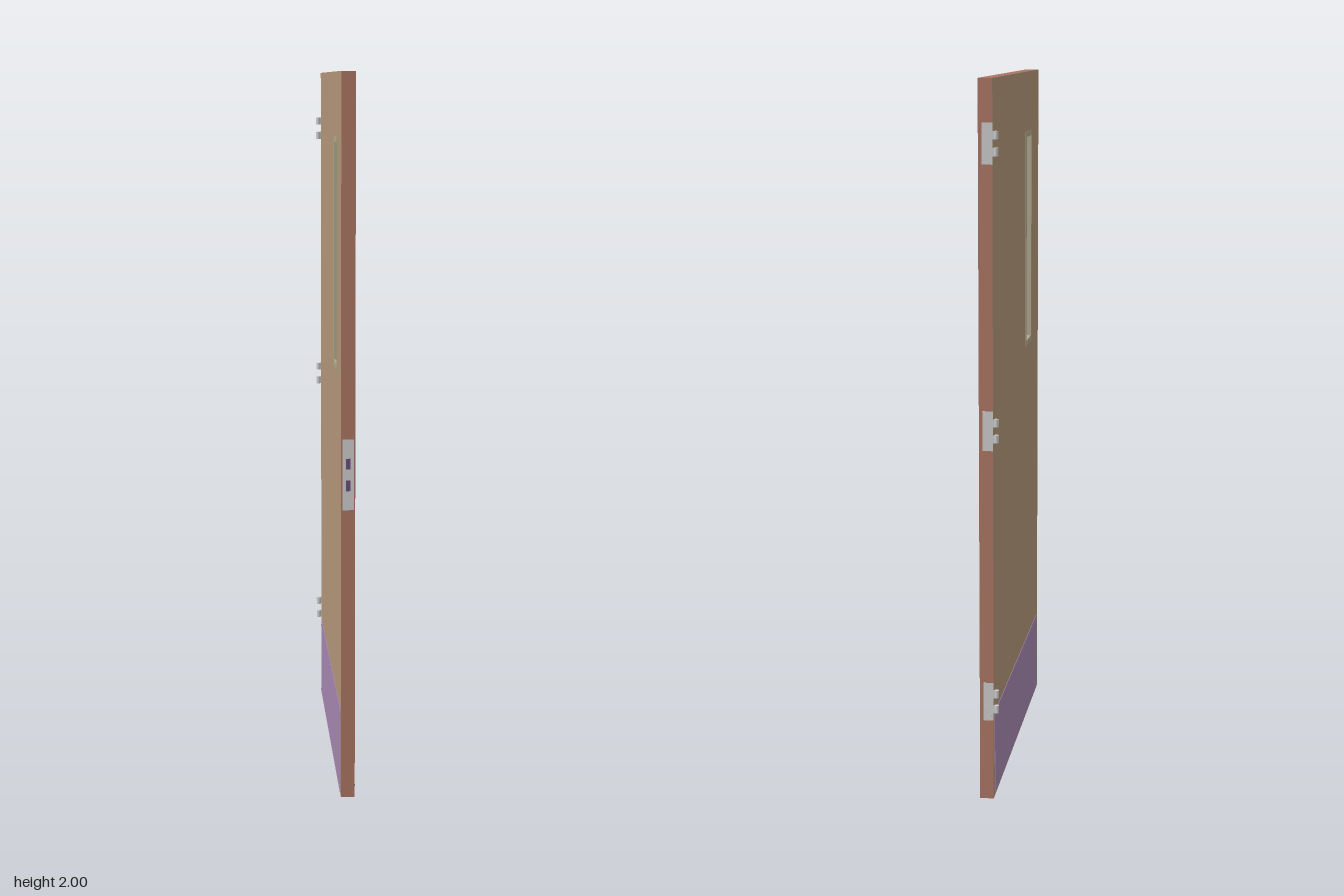
import * as THREE from 'three';

const mat = (color) => new THREE.MeshStandardMaterial({ color });
const STEEL = mat(0xcccccc), FACE = mat(0xb3977a), EDGE = mat(0xab7563);
const PLATE = mat(0xa688b2), TRIM = mat(0xb0a98e), GLASS = mat(0xc8d0d0), DARK = mat(0x6a4a78);

// Slab faces in x
const X0 = -0.0142, X1 = 0.0245;
const XM = (X0 + X1) / 2;

function add(parent, name, geometry, material, x = 0, y = 0, z = 0) {
  const mesh = new THREE.Mesh(geometry, material);
  mesh.name = name;
  mesh.position.set(x, y, z);
  parent.add(mesh);
  return mesh;
}

const box = (parent, name, material, x0, x1, y0, y1, z0, z1) =>
  add(parent, name, new THREE.BoxGeometry(x1 - x0, y1 - y0, z1 - z0), material,
    (x0 + x1) / 2, (y0 + y1) / 2, (z0 + z1) / 2);

// Rectangle in z and y; shapes are drawn with u = -z so they can be turned to face +x
function rect(Type, z0, z1, y0, y1) {
  const p = new Type();
  p.moveTo(-z1, y0);
  p.lineTo(-z0, y0);
  p.lineTo(-z0, y1);
  p.lineTo(-z1, y1);
  p.closePath();
  return p;
}

// Rectangular ring running from x0 to x1
function ring(parent, name, material, outer, inner, x0, x1) {
  const shape = rect(THREE.Shape, ...outer);
  shape.holes.push(rect(THREE.Path, ...inner));
  const g = new THREE.ExtrudeGeometry(shape, { depth: x1 - x0, bevelEnabled: false });
  g.rotateY(Math.PI / 2);
  return add(parent, name, g, material, x0);
}

// Wide plate and its screws on one face; side is +1 or -1 along x
function kickPlate(side) {
  const group = new THREE.Group();
  group.name = side > 0 ? 'leftKickPlate' : 'rightKickPlate';
  const face = side > 0 ? X1 : X0;
  const outer = face + side * 0.0015;
  box(group, 'plate', PLATE, Math.min(face, outer), Math.max(face, outer), 0.006, 0.25, -0.455, 0.455);
  for (const z of [-0.437, 0, 0.437]) for (const y of [0.02, 0.235]) {
    const screw = new THREE.SphereGeometry(0.005, 12, 5, 0, Math.PI * 2, 0, Math.PI / 2);
    screw.scale(1, 0.35, 1);
    screw.rotateZ(-side * Math.PI / 2);
    add(group, 'screw', screw, PLATE, outer, y, z);
  }
  return group;
}

// Half hinge: leaf on the edge, with two of the five knuckles
function hinge(y) {
  const group = new THREE.Group();
  group.name = 'hinge';
  const zEdge = -0.475, seg = 0.022, px = -0.0228, pz = -0.471;
  box(group, 'leaf', STEEL, X0, 0.014, -0.055, 0.055, zEdge - 0.001, zEdge + 0.001);
  for (const s of [-1, 1]) {
    const k = s * seg;
    add(group, 'knuckle', new THREE.CylinderGeometry(0.0068, 0.0068, seg, 16), STEEL, px, k, pz);
    box(group, 'knuckleTab', STEEL, px, X0, k - seg / 2, k + seg / 2, zEdge - 0.001, zEdge + 0.001);
  }
  // Leaf screws, staggered
  [-0.04, -0.013, 0.013, 0.04].forEach((sy, i) => {
    const g = new THREE.CylinderGeometry(0.004, 0.004, 0.0008, 12);
    g.rotateX(Math.PI / 2);
    add(group, 'screw', g, STEEL, i % 2 ? 0.006 : -0.004, sy, zEdge - 0.0012);
  });
  group.position.y = y;
  return group;
}

export function createModel() {
  const door = new THREE.Group();
  door.name = 'door';

  // Slab with a window opening
  ring(door, 'slab', [FACE, EDGE], [-0.475, 0.475, 0, 2], [0.19, 0.306, 1.188, 1.816], X0, X1);

  // Window: lining, thin face trims and glass
  const win = new THREE.Group();
  win.name = 'window';
  const opening = [0.197, 0.3, 1.197, 1.809];
  ring(win, 'lining', TRIM, [0.19, 0.306, 1.188, 1.816], opening, X0, X1);
  const trim = [0.182, 0.314, 1.18, 1.824];
  ring(win, 'leftTrim', TRIM, trim, opening, X1, X1 + 0.0015);
  ring(win, 'rightTrim', TRIM, trim, opening, X0 - 0.0015, X0);
  box(win, 'glass', GLASS, XM - 0.003, XM + 0.003, 1.192, 1.812, 0.193, 0.303);
  door.add(win);

  door.add(kickPlate(1), kickPlate(-1));

  // Lock plate on the front edge
  const lock = new THREE.Group();
  lock.name = 'lock';
  box(lock, 'lockPlate', STEEL, -0.01, 0.021, 0.822, 1.018, 0.474, 0.4758);
  for (const y of [0.89, 0.95])
    box(lock, 'latchSlot', DARK, XM - 0.006, XM + 0.006, y - 0.015, y + 0.015, 0.4745, 0.4762);
  for (const y of [0.835, 1.005]) {
    const g = new THREE.CylinderGeometry(0.004, 0.004, 0.0008, 12);
    g.rotateX(Math.PI / 2);
    add(lock, 'screw', g, STEEL, XM, y, 0.476);
  }
  door.add(lock);

  for (const y of [0.287, 1.058, 1.83]) door.add(hinge(y));
  return door;
}
